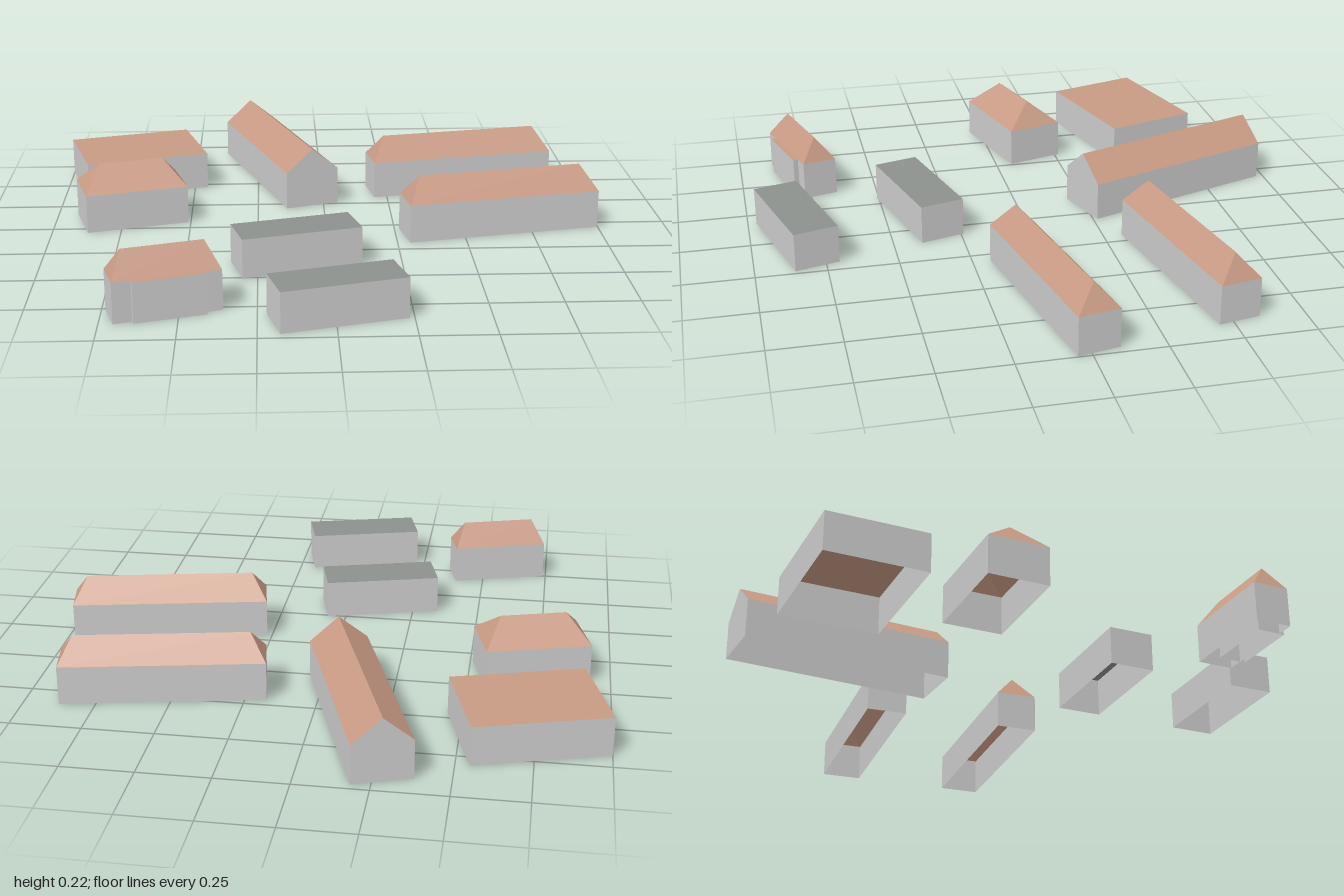
import * as THREE from 'three';

const WALL = 0.139, RIDGE = 0.225;
const material = (color) => new THREE.MeshStandardMaterial({ color, flatShading: true, side: THREE.DoubleSide });
const wallMat = material(0xcccccc);
const tileMat = material(0xc89a84);
const slateMat = material(0x8c918e);

// Mesh from flat polygons, each a counter-clockwise list of Vector3
function polygonMesh(name, polygons, mat) {
  const points = [];
  for (const p of polygons)
    for (let i = 1; i < p.length - 1; i++) points.push(p[0], p[i], p[i + 1]);
  const geometry = new THREE.BufferGeometry().setFromPoints(points);
  geometry.computeVertexNormals();
  const mesh = new THREE.Mesh(geometry, mat);
  mesh.name = name;
  return mesh;
}

// One building, open underneath. Plan corners [x, z] run clockwise from above;
// the first and third sides are the long ones, parallel to any ridge.
function building({ name, plan, roof, inset = 0, roofMat = tileMat }) {
  const group = new THREE.Group();
  group.name = name;
  const base = plan.map(([x, z]) => new THREE.Vector3(x, 0, z));
  const eave = plan.map(([x, z]) => new THREE.Vector3(x, WALL, z));
  const walls = base.map((p, i) => {
    const j = (i + 1) % 4;
    return [base[j], p, eave[i], eave[j]];
  });
  const [a, b, c, d] = eave;
  let slopes = [[d, c, b, a]];
  if (roof !== 'flat') {
    // Ridge between the middles of the short ends, pulled in for a hipped roof
    const r1 = a.clone().add(d).multiplyScalar(0.5);
    const r2 = b.clone().add(c).multiplyScalar(0.5);
    const along = r2.clone().sub(r1).setLength(inset);
    r1.add(along).setY(RIDGE);
    r2.sub(along).setY(RIDGE);
    slopes = [[b, a, r1, r2], [d, c, r2, r1]];
    (roof === 'gable' ? walls : slopes).push([c, b, r2], [a, d, r1]);
  }
  group.add(polygonMesh('walls', walls, wallMat), polygonMesh('roof', slopes, roofMat));
  return group;
}

const BUILDINGS = [
  { name: 'wideHall', roof: 'flat', plan: [[-1, -0.675], [-0.547, -0.805], [-0.45, -0.468], [-0.904, -0.338]] },
  { name: 'gabledHall', roof: 'gable', plan: [[-0.185, -0.975], [0.055, -0.265], [-0.14, -0.198], [-0.38, -0.908]] },
  { name: 'backLongHouse', roof: 'hip', inset: 0.052, plan: [[0.175, -0.462], [0.875, -0.595], [0.902, -0.45], [0.201, -0.317]] },
  { name: 'frontLongHouse', roof: 'hip', inset: 0.052, plan: [[0.267, 0.04], [0.968, -0.098], [0.997, 0.048], [0.296, 0.187]] },
  { name: 'middleHouse', roof: 'hip', inset: 0.07, plan: [[-0.927, -0.163], [-0.565, -0.265], [-0.508, -0.06], [-0.87, 0.042]] },
  { name: 'smallHouse', roof: 'hip', inset: 0.043, plan: [[-0.738, 0.752], [-0.393, 0.65], [-0.36, 0.773], [-0.704, 0.875]] },
  // Shallow annex standing slightly proud of the small house's front wall
  { name: 'smallHouseAnnex', roof: 'flat', plan: [[-0.667, 0.779], [-0.437, 0.712], [-0.409, 0.807], [-0.639, 0.874]] },
  { name: 'backShed', roof: 'flat', roofMat: slateMat, plan: [[-0.343, 0.35], [0.068, 0.241], [0.11, 0.398], [-0.301, 0.507]] },
  { name: 'frontShed', roof: 'flat', roofMat: slateMat, plan: [[-0.22, 0.812], [0.191, 0.703], [0.233, 0.86], [-0.178, 0.969]] },
];

export function createModel() {
  const model = new THREE.Group();
  model.name = 'buildingCluster';
  for (const spec of BUILDINGS) model.add(building(spec));
  return model;
}
